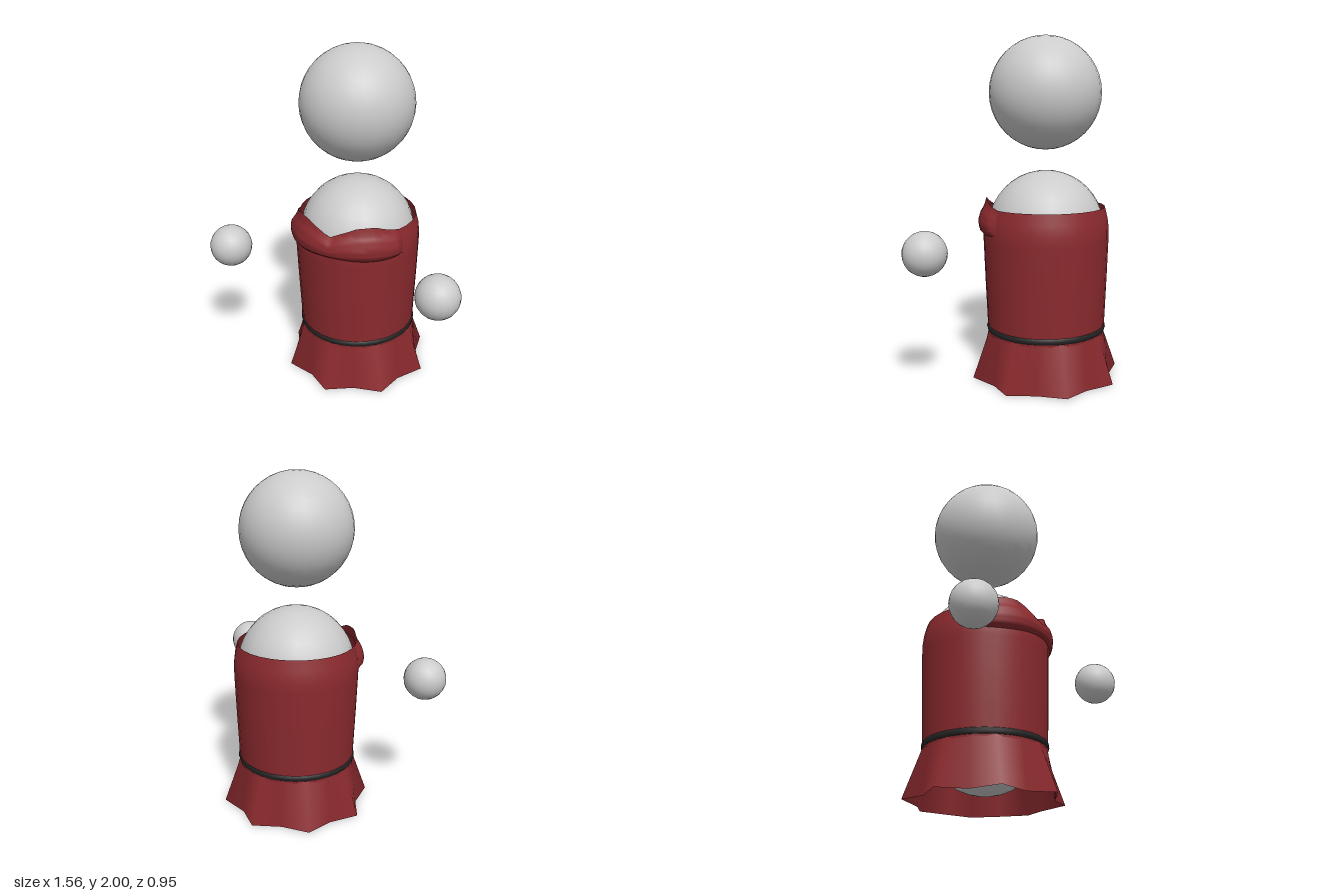
import * as THREE from 'three';
import { ParametricGeometry } from 'three/addons/geometries/ParametricGeometry.js';

const CZ = -0.03; // body axis is slightly behind the origin
const skin = new THREE.MeshStandardMaterial({ color: 0xcccccc });
const cloth = new THREE.MeshStandardMaterial({ color: 0x8b2a2e, side: THREE.DoubleSide });
const dark = new THREE.MeshStandardMaterial({ color: 0x242424 });

// Piecewise linear lookup through [position, value] pairs
function lerpTable(table, p) {
  for (let i = 1; i < table.length; i++) {
    const [p0, v0] = table[i - 1], [p1, v1] = table[i];
    if (p <= p1) return v0 + (v1 - v0) * Math.max(0, (p - p0) / (p1 - p0));
  }
  return table[table.length - 1][1];
}

// Sheet wrapped round the body axis; shape(angle, v) returns [radius, y], angle 0 faces front
function wrap(from, to, slices, stacks, shape) {
  return new ParametricGeometry((u, v, out) => {
    const a = from + (to - from) * u;
    const [r, y] = shape(a, v);
    out.set(r * Math.sin(a), y, r * Math.cos(a));
  }, slices, stacks);
}

// Sweetheart neckline height by degrees away from the front
const neckline = a => lerpTable(
  [[0, 1.0], [10, 1.028], [26, 1.068], [42, 1.07], [54, 1.045], [70, 1.02]],
  Math.abs(THREE.MathUtils.radToDeg(a)));

export function createModel() {
  const group = new THREE.Group();
  const add = (name, geometry, material, x, y, z) => {
    const mesh = new THREE.Mesh(geometry, material);
    mesh.name = name;
    mesh.position.set(x, y, z);
    group.add(mesh);
    return mesh;
  };

  // Floating head, rounded torso and hands
  add('head', new THREE.SphereGeometry(0.325, 32, 20), skin, 0, 1.675, -0.025);
  add('torso', new THREE.CapsuleGeometry(0.343, 0.5, 10, 20), skin, 0, 0.637, CZ);
  for (const side of [1, -1])
    add(side > 0 ? 'leftHand' : 'rightHand', new THREE.SphereGeometry(0.124, 20, 14), skin,
      side * 0.655, 0.81, 0.35);

  // Bodice widening to the chest, then drawn in at its upper edge
  const bodiceRadius = [[0.27, 0.346], [0.6, 0.36], [0.88, 0.37], [0.95, 0.363], [1.02, 0.345]];
  add('bodice', wrap(-Math.PI, Math.PI, 32, 12, (a, v) => {
    const y = 0.27 + (Math.min(neckline(a), 1.02) - 0.27) * v;
    return [lerpTable(bodiceRadius, y), y];
  }), cloth, 0, 0, CZ);

  // Puffed bust panel across the front
  const half = THREE.MathUtils.degToRad(70);
  const puff = [[0, 0], [0.12, 0.022], [0.35, 0.032], [0.6, 0.03], [0.85, 0.012], [1, 0.004]];
  add('bust', wrap(-half, half, 28, 10, (a, v) => {
    const low = 0.868 + 0.014 * Math.cos(a * 2) ** 2;
    const y = low + (neckline(a) - low) * v;
    const ends = Math.min(1, (half - Math.abs(a)) / 0.16);
    return [lerpTable(bodiceRadius, y) + lerpTable(puff, v) * ends + 0.002, y];
  }), cloth, 0, 0, CZ);

  // Flared skirt with eight pointed folds
  add('skirt', wrap(-Math.PI, Math.PI, 16, 6, (a, v) => {
    const drop = 1 - v, fold = Math.cos(8 * a);
    return [0.345 + 0.065 * drop + 0.035 * fold * drop,
      0.29 * v + 0.004 * (1 + fold) * drop];
  }), cloth, 0, 0, CZ);

  // Belt
  const belt = add('belt', new THREE.TorusGeometry(0.326, 0.028, 10, 32), dark, 0, 0.302, CZ);
  belt.rotation.x = Math.PI / 2;

  return group;
}
